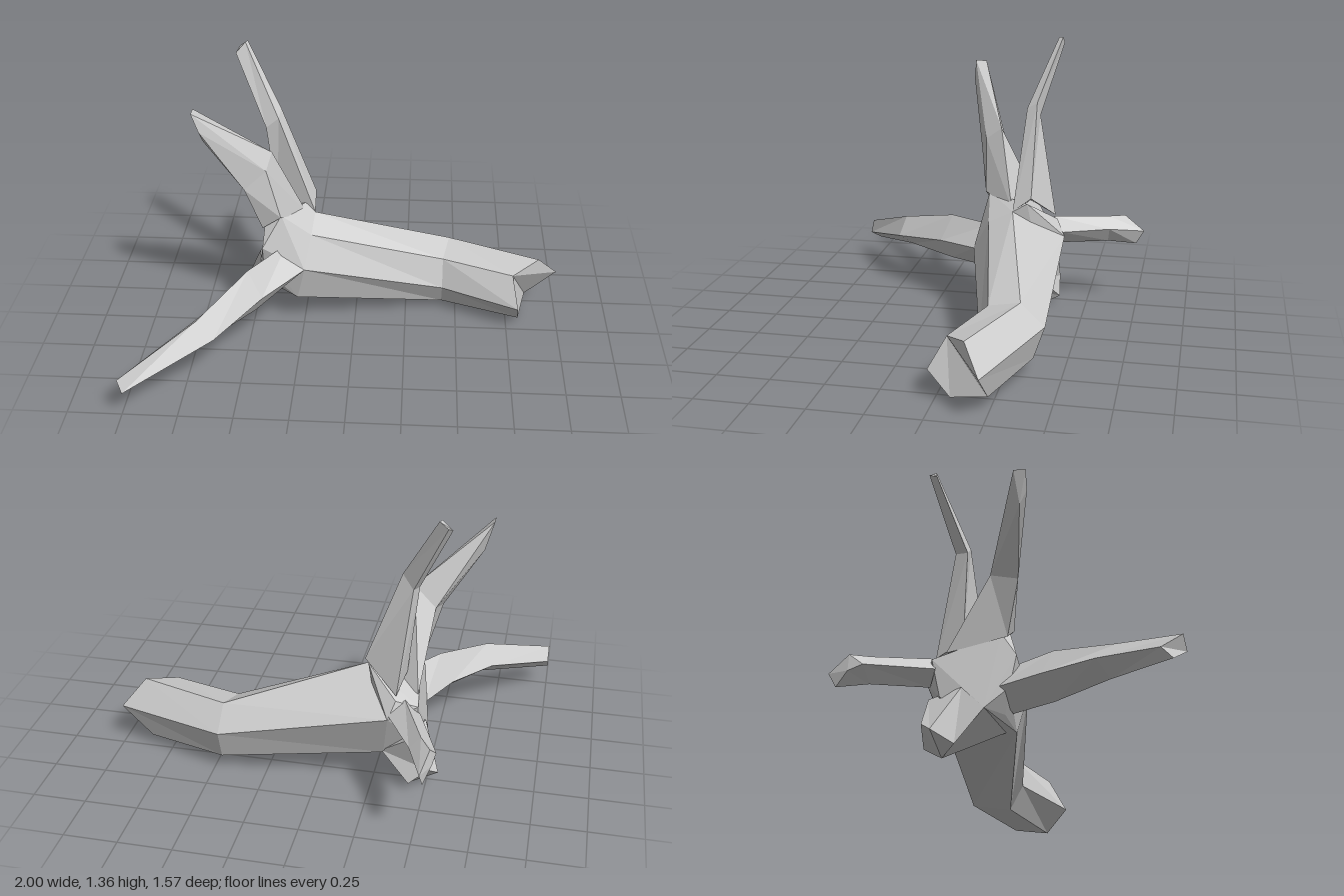
import * as THREE from 'three';
import { ConvexGeometry } from 'three/addons/geometries/ConvexGeometry.js';

const material = new THREE.MeshStandardMaterial({ color: 0xcccccc, flatShading: true });

// Skins a row of matching cross-sections and closes both ends.
function loft(name, rings) {
  const n = rings[0].length;
  const r = rings.map((ring) => ring.map((p) => new THREE.Vector3(...p)));
  const tris = [];
  for (let i = 0; i < r.length - 1; i++) {
    for (let j = 0; j < n; j++) {
      const k = (j + 1) % n;
      tris.push([r[i][j], r[i][k], r[i + 1][k]], [r[i][j], r[i + 1][k], r[i + 1][j]]);
    }
  }
  // End caps fan out from the second corner of the section.
  const first = r[0];
  const last = r[r.length - 1];
  for (let j = 2; j < n; j++) {
    const k = (j + 1) % n;
    tris.push([first[1], first[k], first[j]], [last[1], last[j], last[k]]);
  }

  // Turn all faces outward, whichever way the sections run.
  const origin = first[0];
  let volume = 0;
  for (const t of tris) {
    const [a, b, c] = t.map((p) => p.clone().sub(origin));
    volume += a.dot(b.cross(c));
  }
  if (volume < 0) tris.forEach((t) => t.reverse());

  const geometry = new THREE.BufferGeometry().setFromPoints(tris.flat());
  geometry.computeVertexNormals();
  const mesh = new THREE.Mesh(geometry, material);
  mesh.name = name;
  return mesh;
}

export function createModel() {
  const group = new THREE.Group();
  group.name = 'branchingStump';

  // Trunk: six-sided, bent once, with an uneven cut end
  const trunkRoot = [[-0.2, 0.55, -0.16], [-0.21, 0.49, -0.04], [-0.24, 0.34, 0.04],
    [-0.28, 0.155, 0], [-0.3, 0.16, -0.3], [-0.33, 0.4, -0.4]];
  group.add(loft('trunk', [
    trunkRoot,
    [[0.46, 0.335, -0.31], [0.43, 0.3, -0.16], [0.43, 0.155, -0.12],
      [0.43, 0.04, -0.18], [0.46, 0.08, -0.37], [0.46, 0.23, -0.42]],
    [[0.9, 0.32, -0.15], [0.77, 0.285, -0.05], [0.8, 0.14, 0.03],
      [0.81, 0.025, -0.07], [0.85, 0.06, -0.24], [1, 0.2, -0.23]],
  ]));

  // Knot where all the branches meet
  const knotPoints = [...trunkRoot,
    [-0.35, 0.605, -0.02], [-0.43, 0.56, -0.04], [-0.44, 0.45, 0.03], [-0.44, 0.3, 0],
    [-0.48, 0.2, -0.1], [-0.38, 0.2, -0.03], [-0.46, 0.27, -0.3], [-0.46, 0.45, -0.34],
    [-0.36, 0.48, -0.36], [-0.21, 0.59, -0.23]];
  const knot = new THREE.Mesh(
    new ConvexGeometry(knotPoints.map((p) => new THREE.Vector3(...p))), material);
  knot.name = 'knot';
  group.add(knot);

  // Long low branch reaching forward
  group.add(loft('frontBranch', [
    [[-0.33, 0.44, -0.03], [-0.24, 0.34, 0.04], [-0.36, 0.21, 0], [-0.45, 0.3, -0.06]],
    [[-0.49, 0.43, 0.2], [-0.42, 0.31, 0.25], [-0.46, 0.21, 0.2], [-0.56, 0.3, 0.16]],
    [[-0.69, 0.345, 0.5], [-0.61, 0.26, 0.52], [-0.66, 0.205, 0.46], [-0.73, 0.27, 0.41]],
    [[-1, 0.215, 0.775], [-0.98, 0.15, 0.785], [-1, 0.12, 0.735], [-1, 0.17, 0.69]],
  ]));

  // Upright branch leaning outward
  group.add(loft('leaningBranch', [
    [[-0.24, 0.55, -0.15], [-0.35, 0.605, 0], [-0.44, 0.54, -0.01], [-0.45, 0.48, -0.28]],
    [[-0.39, 0.92, -0.07], [-0.41, 0.86, 0.01], [-0.51, 0.78, 0.05], [-0.49, 0.82, -0.08]],
    [[-0.72, 1.2, 0.07], [-0.72, 1.2, 0.125], [-0.69, 1.11, 0.125], [-0.68, 1.05, 0.09]],
  ]));

  // Tallest branch
  group.add(loft('tallBranch', [
    [[-0.2, 0.55, -0.16], [-0.2, 0.62, -0.25], [-0.36, 0.5, -0.35], [-0.39, 0.56, -0.22]],
    [[-0.37, 1.03, -0.2], [-0.36, 1.06, -0.25], [-0.41, 0.99, -0.26], [-0.43, 0.98, -0.2]],
    [[-0.53, 1.36, -0.33], [-0.52, 1.36, -0.35], [-0.56, 1.33, -0.355], [-0.575, 1.31, -0.315]],
  ]));

  // Stubby branch pointing backward
  group.add(loft('backBranch', [
    [[-0.4, 0.48, -0.34], [-0.33, 0.42, -0.39], [-0.4, 0.345, -0.36], [-0.47, 0.4, -0.32]],
    [[-0.51, 0.465, -0.6], [-0.46, 0.41, -0.61], [-0.51, 0.335, -0.6], [-0.58, 0.4, -0.61]],
    [[-0.56, 0.46, -0.68], [-0.53, 0.39, -0.78], [-0.54, 0.32, -0.74], [-0.57, 0.38, -0.68]],
  ]));

  // Short thick root underneath
  group.add(loft('lowerStub', [
    [[-0.48, 0.2, -0.1], [-0.28, 0.16, -0.04], [-0.29, 0.17, -0.3], [-0.42, 0.28, -0.36], [-0.48, 0.3, -0.2]],
    [[-0.5, 0.04, -0.22], [-0.43, 0.005, -0.29], [-0.43, 0.05, -0.37], [-0.52, 0.13, -0.36], [-0.56, 0.09, -0.31]],
  ]));

  return group;
}
